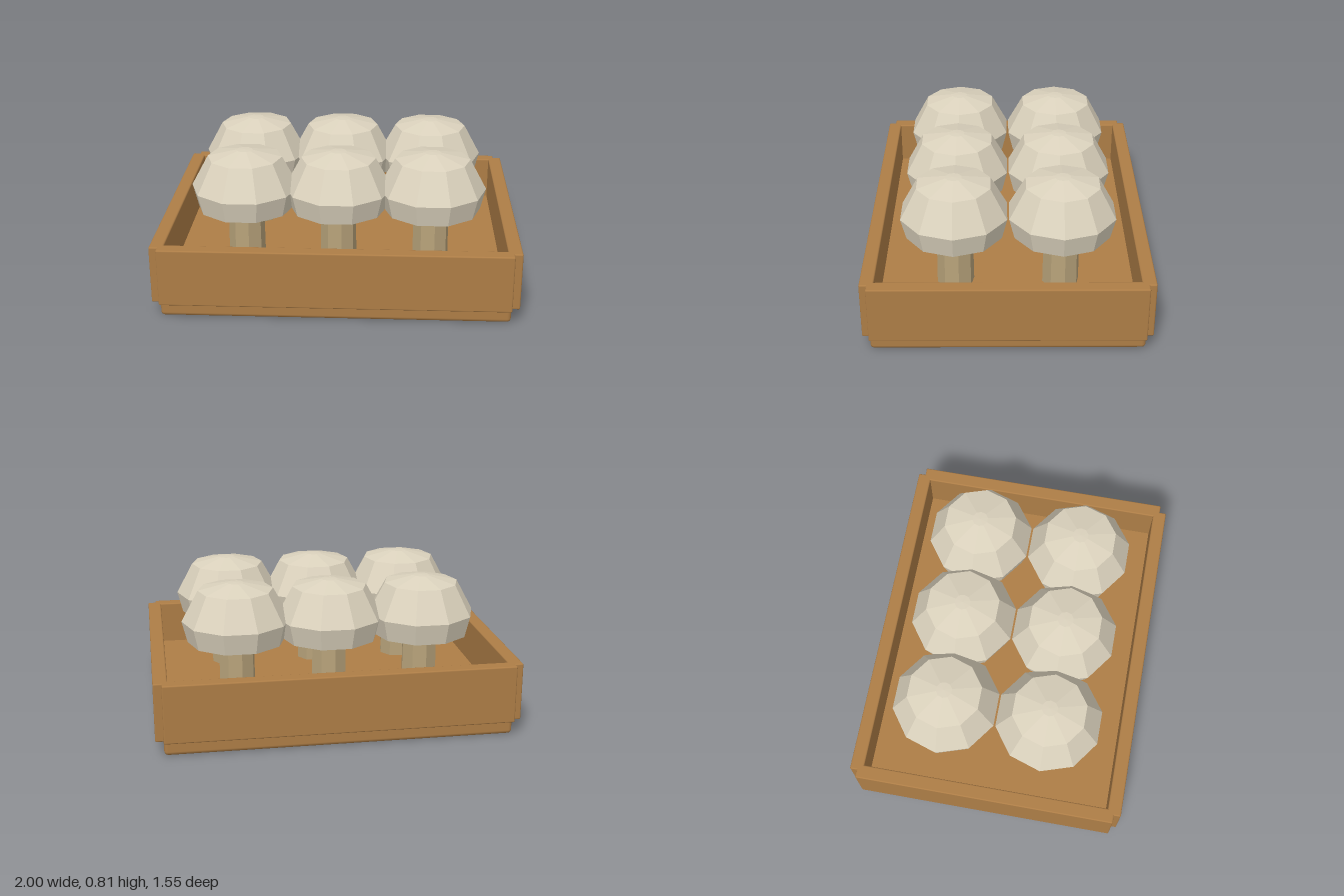
import * as THREE from 'three';
import { RoundedBoxGeometry } from 'three/addons/geometries/RoundedBoxGeometry.js';

const material = (name, color, flatShading = false) => {
  const m = new THREE.MeshStandardMaterial({ color, flatShading });
  m.name = name;
  return m;
};

export function createModel() {
  const wood = material('wood', 0xad7d46);
  const capCream = material('capCream', 0xdbd2bd, true);
  const stemTan = material('stemTan', 0xb7a27a, true);
  const model = new THREE.Group();
  model.name = 'mushroomCrate';

  // Softly bevelled board spanning two corners
  const board = (name, min, max, bevel, parent) => {
    const size = max.map((v, i) => v - min[i]);
    const mesh = new THREE.Mesh(new RoundedBoxGeometry(...size, 2, bevel), wood);
    mesh.position.set(...max.map((v, i) => (v + min[i]) / 2));
    mesh.name = name;
    parent.add(mesh);
  };

  // Crate: raised floor slab with four overlapping side boards
  const crate = new THREE.Group();
  crate.name = 'crate';
  board('crateFloor', [-0.955, 0, -0.738], [0.955, 0.16, 0.738], 0.022, crate);
  board('frontBoard', [-0.955, 0.083, 0.7], [0.955, 0.41, 0.777], 0.008, crate);
  board('backBoard', [-0.955, 0.083, -0.777], [0.955, 0.41, -0.7], 0.008, crate);
  board('leftBoard', [0.922, 0.083, -0.738], [1, 0.41, 0.738], 0.008, crate);
  board('rightBoard', [-1, 0.083, -0.738], [-0.922, 0.41, 0.738], 0.008, crate);
  model.add(crate);

  // Faceted ten-sided cap with a closed underside
  const capProfile = [
    [0, 0.482], [0.272, 0.482], [0.302, 0.602], [0.208, 0.775], [0.045, 0.813], [0, 0.815],
  ].map(([r, y]) => new THREE.Vector2(r, y));
  const capGeometry = new THREE.LatheGeometry(capProfile, 10, Math.PI / 2);

  // Eight-sided stem reaching from the floor into the cap
  const stemGeometry = new THREE.CylinderGeometry(0.1, 0.104, 0.36, 8);
  stemGeometry.rotateY(0.2).translate(0, 0.32, 0);

  // Two rows of three mushrooms
  for (const z of [-0.295, 0.29]) {
    for (const x of [-0.523, 0, 0.523]) {
      const mushroom = new THREE.Group();
      mushroom.name = 'mushroom';
      const cap = new THREE.Mesh(capGeometry, capCream);
      cap.name = 'cap';
      const stem = new THREE.Mesh(stemGeometry, stemTan);
      stem.name = 'stem';
      mushroom.add(cap, stem);
      mushroom.position.set(x, 0, z);
      model.add(mushroom);
    }
  }
  return model;
}
